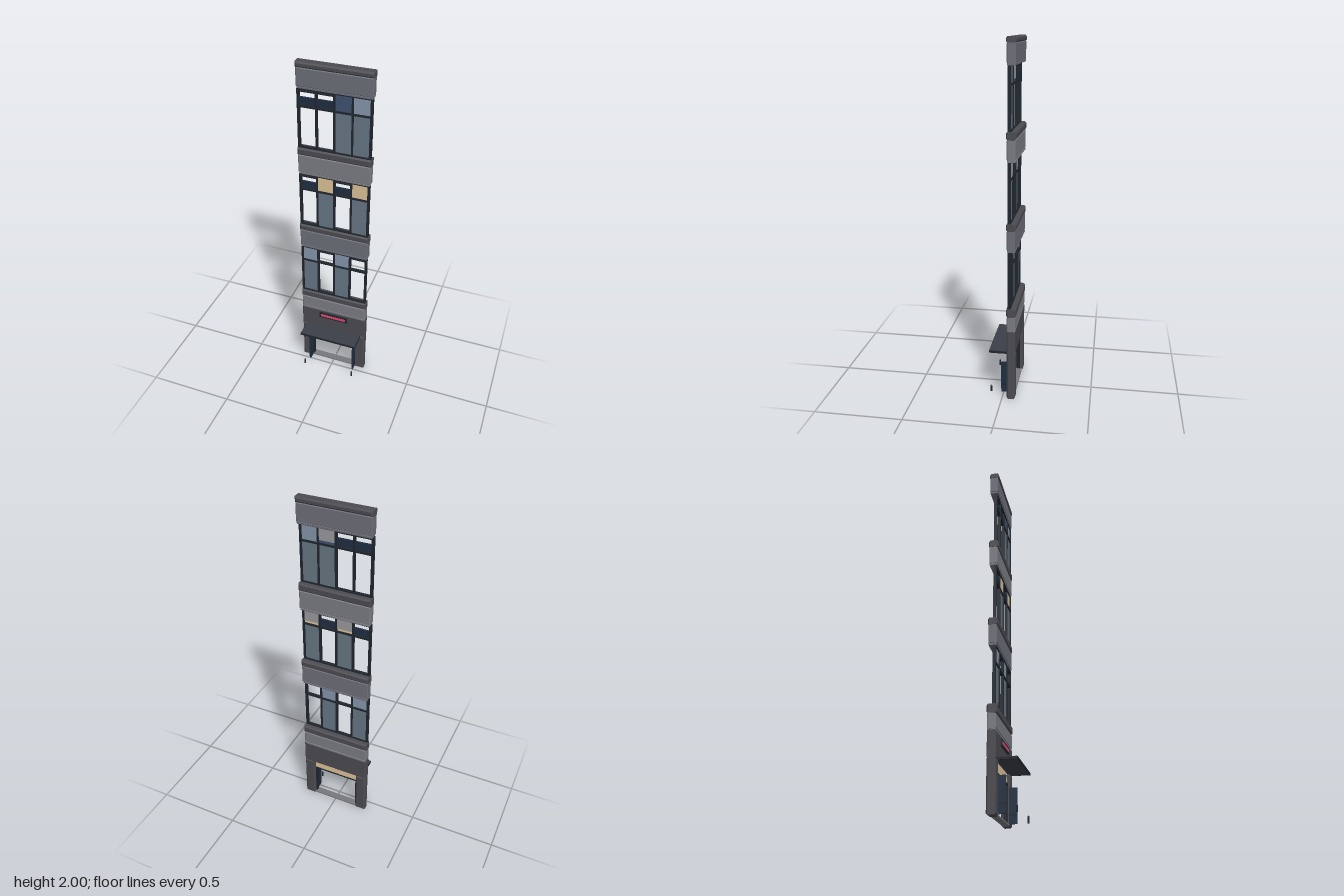
import * as THREE from 'three';

const mat = (color) => new THREE.MeshStandardMaterial({ color });
const M = {
  dark: mat(0x4b4b51), panelTop: mat(0x6c6e78), panel: mat(0x7b7c83), frame: mat(0x1f262d),
  navy: mat(0x1f2e42), glass: mat(0x667683), paleGlass: mat(0x8495aa), blueBlind: mat(0x3f5270),
  tan: mat(0xdcc297), grey: mat(0x9a9a9e), canopy: mat(0x3b4049), pink: mat(0xe0456f), sill: mat(0x77787c),
};

// Box given by its limits
function box(parent, name, m, x0, x1, y0, y1, z0, z1) {
  const mesh = new THREE.Mesh(new THREE.BoxGeometry(x1 - x0, y1 - y0, z1 - z0), m);
  mesh.position.set((x0 + x1) / 2, (y0 + y1) / 2, (z0 + z1) / 2);
  mesh.name = name;
  parent.add(mesh);
  return mesh;
}

// Box with chamfered edges, given by its limits
function chamferBox(parent, name, m, x0, x1, y0, y1, z0, z1, c = 0.008) {
  const s = new THREE.Shape();
  s.moveTo(x0 + c, y0 + c);
  s.lineTo(x1 - c, y0 + c);
  s.lineTo(x1 - c, y1 - c);
  s.lineTo(x0 + c, y1 - c);
  const geo = new THREE.ExtrudeGeometry(s, {
    depth: z1 - z0 - 2 * c, bevelEnabled: true, bevelSegments: 1, bevelSize: c, bevelThickness: c,
  });
  geo.translate(0, 0, z0 + c);
  const mesh = new THREE.Mesh(geo, m);
  mesh.name = name;
  parent.add(mesh);
  return mesh;
}

// Horizontal band: cornice ledge, panel and a small moulding below it
function band(parent, top, ledgeBottom, bottom, panelMat) {
  const g = new THREE.Group();
  g.name = 'floorBand';
  chamferBox(g, 'ledge', M.dark, -0.204, 0.204, ledgeBottom, top, -0.078, -0.024);
  chamferBox(g, 'spandrelPanel', panelMat, -0.202, 0.202, bottom + 0.012, ledgeBottom, -0.074, -0.028, 0.004);
  chamferBox(g, 'moulding', panelMat, -0.198, 0.198, bottom, bottom + 0.014, -0.074, -0.03, 0.003);
  parent.add(g);
}

// Row of four windows; each pane type: open, hopper, glass, blue or tan
function windowRow(parent, bottom, top, panes) {
  const g = new THREE.Group();
  g.name = 'windowRow';
  const transom = top - 0.095, z0 = -0.05, z1 = -0.032;
  for (let i = 0; i <= 4; i++) {
    const x = -0.194 + i * 0.097, w = i % 4 ? 0.005 : 0.006;
    box(g, 'mullion', M.frame, x - w, x + w, bottom, top, z0, z1);
  }
  box(g, 'bottomRail', M.frame, -0.194, 0.194, bottom, bottom + 0.007, z0, z1);
  box(g, 'transom', M.frame, -0.194, 0.194, transom - 0.005, transom + 0.005, z0, z1);
  box(g, 'topRail', M.frame, -0.194, 0.194, top - 0.004, top + 0.004, z0, z1);
  panes.forEach((type, i) => {
    const a = -0.194 + i * 0.097 + 0.004, b = a + 0.089;
    if (type === 'open' || type === 'hopper') {
      box(g, 'headRail', M.frame, a, b, top - 0.016, top - 0.01, z0, z1);
      if (type === 'hopper') box(g, 'hopperVent', M.navy, a, b, transom + 0.012, transom + 0.05, -0.046, -0.034);
      return;
    }
    box(g, 'glassPane', M.glass, a, b, bottom, transom, -0.043, -0.039);
    const upper = { glass: M.paleGlass, blue: M.blueBlind, tan: M.tan }[type];
    box(g, 'upperPane', upper, a, b, transom, top, -0.043, -0.038);
    if (type !== 'glass') box(g, 'blindBacking', M.grey, a, b, transom + 0.02, top, -0.047, -0.043);
  });
  parent.add(g);
}

export function createModel() {
  const model = new THREE.Group();
  model.name = 'shopFacade';

  // Upper floors
  band(model, 2.0, 1.97, 1.86, M.panelTop);
  windowRow(model, 1.53, 1.86, ['hopper', 'hopper', 'blue', 'glass']);
  band(model, 1.53, 1.487, 1.37, M.panel);
  windowRow(model, 1.04, 1.37, ['hopper', 'tan', 'hopper', 'tan']);
  band(model, 1.04, 1.0, 0.88, M.panelTop);
  windowRow(model, 0.553, 0.88, ['glass', 'open', 'glass', 'open']);
  band(model, 0.553, 0.505, 0.412, M.panel);

  // Ground floor wall and entrance
  const shop = new THREE.Group();
  shop.name = 'groundFloor';
  model.add(shop);
  chamferBox(shop, 'lintelWall', M.dark, -0.203, 0.203, 0.275, 0.417, -0.074, -0.028, 0.004);
  box(shop, 'fasciaPanel', M.tan, -0.14, 0.14, 0.218, 0.276, -0.055, -0.042);
  box(shop, 'doorHead', M.frame, -0.14, 0.14, 0.212, 0.22, -0.058, -0.036);
  box(shop, 'threshold', M.sill, -0.14, 0.14, 0.006, 0.014, -0.07, -0.032);

  for (const s of [-1, 1]) {
    const side = new THREE.Group();
    side.name = s > 0 ? 'leftSide' : 'rightSide';
    const span = (p, q) => (s > 0 ? [p, q] : [-q, -p]);
    chamferBox(side, 'pier', M.dark, ...span(0.14, 0.203), 0, 0.28, -0.075, -0.027);
    box(side, 'doorJamb', M.frame, ...span(0.132, 0.141), 0.01, 0.22, -0.058, -0.036);
    box(side, 'openDoor', M.navy, ...span(0.138, 0.148), 0.012, 0.2, -0.03, 0.012);
    box(side, 'kickPlate', M.frame, ...span(0.137, 0.149), 0.056, 0.064, -0.03, 0.012);

    // Small post standing out in front
    const post = new THREE.Mesh(new THREE.CylinderGeometry(0.005, 0.005, 0.034, 8), M.frame);
    post.name = 'bollard';
    post.position.set(s * 0.157, 0.033, 0.068);
    const cap = new THREE.Mesh(new THREE.CylinderGeometry(0.002, 0.005, 0.006, 8), M.dark);
    cap.name = 'bollardCap';
    cap.position.set(s * 0.157, 0.053, 0.068);
    side.add(post, cap);
    shop.add(side);
  }

  // Canopy with a darker edge trim
  box(shop, 'canopy', M.canopy, -0.175, 0.175, 0.271, 0.284, -0.03, 0.075);
  box(shop, 'canopyFrontTrim', M.frame, -0.177, 0.177, 0.27, 0.283, 0.073, 0.077);
  for (const s of [-1, 1]) box(shop, 'canopySideTrim', M.frame, s * 0.1755 - 0.0015, s * 0.1755 + 0.0015, 0.27, 0.283, -0.03, 0.077);

  // Blank lit sign
  box(shop, 'signBox', M.frame, -0.09, 0.09, 0.364, 0.402, -0.03, -0.021);
  box(shop, 'signLight', M.pink, -0.078, 0.078, 0.374, 0.391, -0.022, -0.019);

  return model;
}
